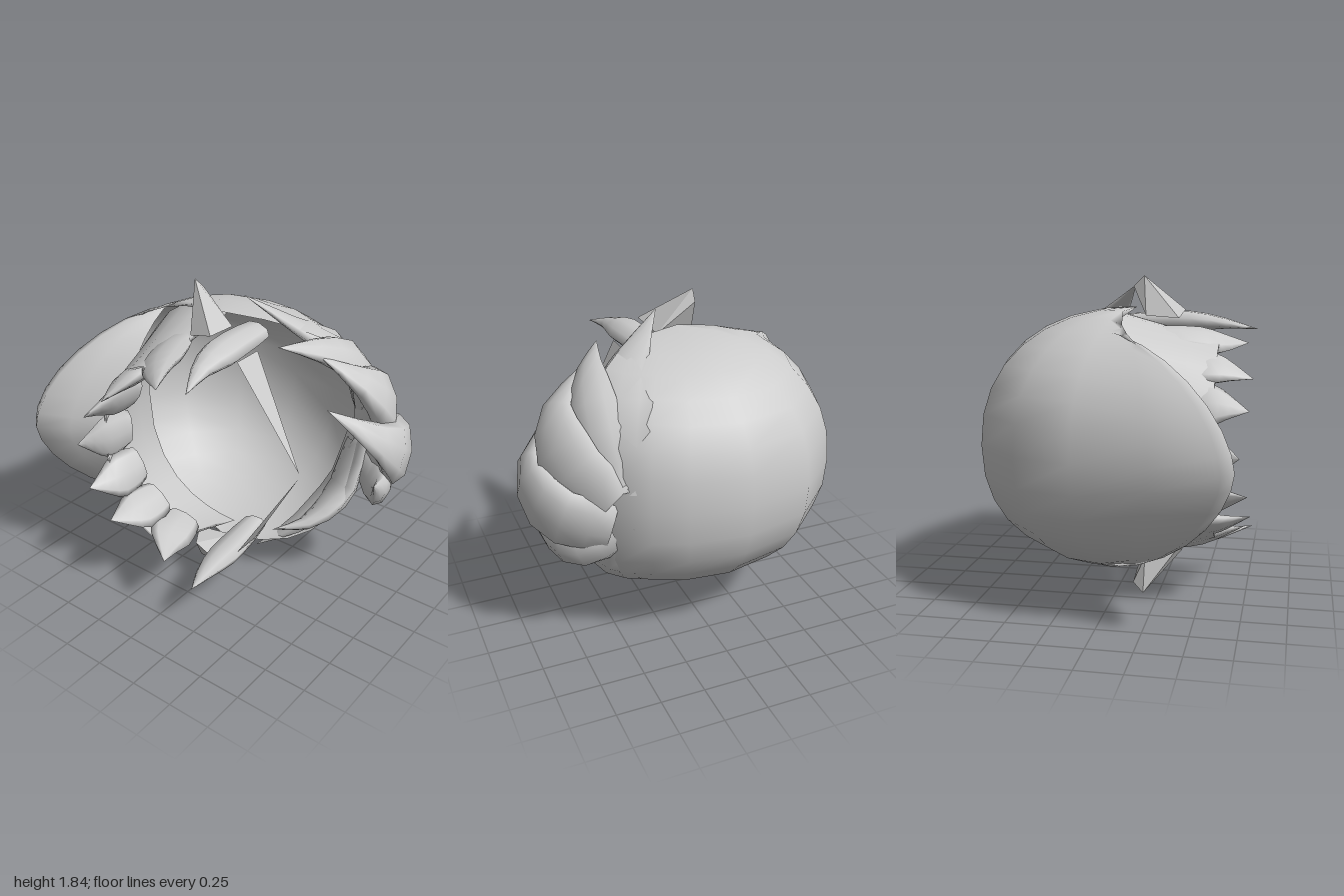
import * as THREE from 'three';
import { ConvexGeometry } from 'three/addons/geometries/ConvexGeometry.js';

const V = (a) => new THREE.Vector3(...a);
const MID = 0.92; // height of the mirror plane
const mix = THREE.MathUtils.lerp;
const hairGrey = new THREE.MeshStandardMaterial({ color: 0xcccccc, side: THREE.DoubleSide });
hairGrey.name = 'hairGrey';

function mesh(name, geometry) {
  const m = new THREE.Mesh(geometry, hairGrey);
  m.name = name;
  return m;
}

// Smooth surface over a grid of rows and columns
function surface(rows, cols, point, wrap = false) {
  const pos = [], idx = [], n = wrap ? cols : cols + 1;
  for (let i = 0; i <= rows; i++)
    for (let j = 0; j < n; j++) pos.push(...point(i / rows, j / cols));
  for (let i = 0; i < rows; i++)
    for (let j = 0; j < cols; j++) {
      const a = i * n + j, b = i * n + ((j + 1) % n), c = a + n, d = b + n;
      idx.push(a, c, b, b, c, d);
    }
  const g = new THREE.BufferGeometry();
  g.setAttribute('position', new THREE.Float32BufferAttribute(pos, 3));
  g.setIndex(idx);
  g.computeVertexNormals();
  return g;
}

// Tapering lock of hair: w is its half width, h its half thickness
function lock(name, points, w, h) {
  const curve = new THREE.CatmullRomCurve3(points.map(V));
  const centre = new THREE.Vector3(-0.1, MID, 0);
  return mesh(name, surface(7, 8, (t, s) => {
    const p = curve.getPoint(t), tan = curve.getTangent(t);
    const out = p.clone().sub(centre);
    out.addScaledVector(tan, -out.dot(tan)).normalize();
    const side = new THREE.Vector3().crossVectors(tan, out);
    const k = Math.min(1, 0.8 + t) * Math.min(1, (1 - t) * 1.9);
    const a = s * Math.PI * 2;
    p.addScaledVector(out, h * k * Math.cos(a)).addScaledVector(side, -w * k * Math.sin(a));
    return p.toArray();
  }, true));
}

// Signed power, for rounded-square arcs
const pow = (c, n) => Math.sign(c) * Math.pow(Math.abs(c) + 1e-9, 2 / n);

// Cap: arches from the forehead over the crown to the pointed back and its underside
function cap() {
  const hinge = [-0.1, -0.05, 0.74], nape = [0, -0.5, 0.64];
  // x and z of each arch top, its roundness, its forward bow, and its feet
  const arches = [
    [0.38, 0.64, 2.5, 0.11, hinge], [0.55, 0.56, 2.5, 0.1, hinge], [0.64, 0.4, 2.4, 0.04, hinge],
    [0.73, 0.22, 2.3, 0, hinge], [0.78, -0.12, 2.25, 0, hinge], [0.69, -0.5, 2.25, 0, hinge],
    [0.43, -0.77, 2.25, 0, hinge], [0.1, -0.89, 2.2, 0, hinge], [-0.3, -0.91, 1.9, 0, [-0.04, -0.34, 0.68]],
    [-0.67, -1, 1.65, 0, nape], [-0.73, -0.93, 1.65, 0, nape],
    [-0.64, -0.74, 1.6, 0, nape], [-0.47, -0.51, 1.5, 0, nape],
  ];
  const rows = arches.length - 1;
  return mesh('cap', surface(rows, 16, (u, v) => {
    const [x, z, n, bow, [fx, fz, half]] = arches[Math.round(u * rows)];
    const r = pow(Math.sin(v * Math.PI), n);
    const b = 0.7 * bow * Math.sin(r * Math.PI);
    return [mix(fx, x, r) - b, MID + half * pow(Math.cos(v * Math.PI), n), mix(fz, z, r) + b];
  }));
}

// Nape shell: a thin curved wall narrowing from the cap towards the neck
function napeShell() {
  return mesh('napeShell', surface(4, 32, (u, v) => {
    const q = v * Math.PI * 2, a = Math.PI / 2 * Math.cos(q);
    const n = mix(2.4, 2, u), k = 1 - 0.012 * Math.sin(q);
    return [
      mix(0.03, -0.58, u),
      MID + mix(0.72, 0.56, u) * k * pow(Math.sin(a), n),
      mix(-0.05, -0.1, u) - mix(0.68, 0.42, u) * k * pow(Math.cos(a), n),
    ];
  }, true));
}

export function createModel() {
  const model = new THREE.Group();
  model.name = 'hair';
  model.add(cap(), napeShell());

  // Middle spike of the nape
  model.add(lock('napeSpike', [[-0.4, 0.92, -0.5], [-0.58, 0.92, -0.53], [-0.73, 0.92, -0.59]], 0.14, 0.05));

  // Fringe locks swept across the forehead
  const fringe = [
    [[[0.5, 1.0, 0.54], [0.38, 1.36, 0.5], [0.15, 1.56, 0.34], [-0.07, 1.78, 0.09]], 0.2, 0.05],
    [[[0.5, 1.0, 0.56], [0.34, 1.34, 0.59], [0.06, 1.52, 0.53], [-0.19, 1.6, 0.4]], 0.15, 0.07],
    [[[0.5, 0.95, 0.57], [0.36, 1.14, 0.74], [0.15, 1.35, 0.75], [-0.02, 1.53, 0.55]], 0.2, 0.09],
    [[[0.49, 0.8, 0.57], [0.38, 0.88, 0.83], [0.12, 1.05, 0.91], [-0.12, 1.29, 0.67]], 0.2, 0.09],
    [[[0.47, 0.76, 0.54], [0.37, 0.66, 0.74], [0.2, 0.7, 0.85], [0.03, 0.83, 0.9]], 0.14, 0.08],
    [[[0.5, 0.85, 0.54], [0.37, 0.5, 0.5], [0.17, 0.31, 0.37], [0.02, 0.1, 0.13]], 0.19, 0.05],
    [[[0.48, 0.78, 0.54], [0.34, 0.49, 0.52], [0.1, 0.37, 0.46], [-0.1, 0.37, 0.33]], 0.14, 0.07],
  ];
  for (const [path, w, h] of fringe) model.add(lock('fringeLock', path, w, h));

  // Spikes along each side of the nape
  const spikes = [
    [[-0.38, 1.16, -0.45], [-0.58, 1.17, -0.46], [-0.77, 1.15, -0.48]],
    [[-0.36, 1.36, -0.32], [-0.58, 1.35, -0.32], [-0.78, 1.3, -0.32]],
    [[-0.28, 1.51, -0.2], [-0.52, 1.48, -0.12], [-0.73, 1.46, 0.03]],
  ];

  // Parts on each side, mirrored through the middle
  for (const s of [1, -1]) {
    const side = new THREE.Group();
    side.name = s > 0 ? 'upperSide' : 'lowerSide';
    side.scale.y = s;
    side.position.y = s > 0 ? 0 : 2 * MID;

    for (const path of spikes) side.add(lock('napeSpike', path, 0.13, 0.05));

    side.add(lock('sideLock', [
      [0, 1.56, 0.13], [-0.3, 1.57, 0.16], [-0.54, 1.56, 0.19], [-0.77, 1.52, 0.26]], 0.1, 0.06));

    side.add(mesh('sideTuft', new ConvexGeometry([
      [-0.36, 1.64, 0.09], [-0.34, 1.6, -0.06], [-0.16, 1.84, -0.17],
      [-0.1, 1.78, -0.16], [-0.13, 1.61, 0.06], [-0.17, 1.62, -0.17]].map(V))));

    // Thin strand hanging inside the opening
    const strand = new THREE.BufferGeometry().setFromPoints(
      [[-0.34, 1.53, 0.25], [-0.25, 0.93, 0.6], [-0.16, 1.53, 0.25]].map(V));
    strand.computeVertexNormals();
    side.add(mesh('innerStrand', strand));
    model.add(side);
  }
  return model;
}
